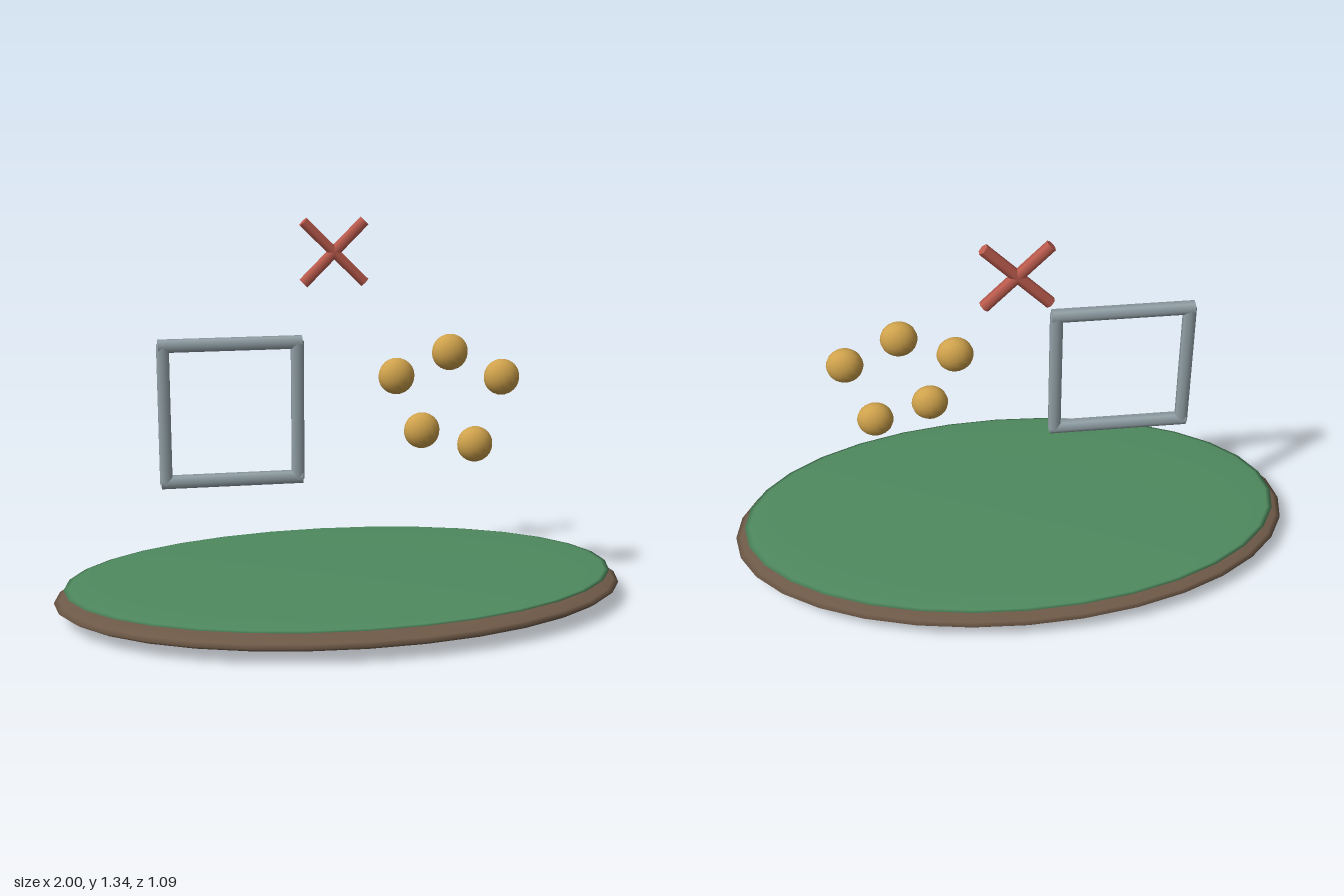
import * as THREE from 'three';

const material = (color) => new THREE.MeshStandardMaterial({ color });

function addMesh(parent, name, geometry, mat, x, y, z = 0) {
  const mesh = new THREE.Mesh(geometry, mat);
  mesh.name = name;
  mesh.position.set(x, y, z);
  parent.add(mesh);
  return mesh;
}

// Sphere stretched to the given half sizes
function ellipsoid(rx, ry, rz, columns, rows) {
  return new THREE.SphereGeometry(1, columns, rows).scale(rx, ry, rz);
}

function addGroup(parent, name, x, y, z) {
  const group = new THREE.Group();
  group.name = name;
  group.position.set(x, y, z);
  parent.add(group);
  return group;
}

export function createModel() {
  const model = new THREE.Group();
  model.name = 'floatingSymbolsOverIsland';

  // Flat oval island: earth below, grass on top
  addMesh(model, 'earthBase', ellipsoid(1, 0.06, 0.545, 32, 16), material(0x6f5a48), 0, 0.06);
  addMesh(model, 'grassTop', ellipsoid(0.965, 0.017, 0.522, 32, 16), material(0x4f8a5f), 0, 0.105);

  // Square frame of four six-sided bars
  const steel = material(0x93a2a8);
  const frame = addGroup(model, 'squareFrame', -0.378, 0.71, 0);
  const bar = new THREE.CylinderGeometry(0.024, 0.024, 0.484, 6);
  for (const side of [-1, 1]) {
    addMesh(frame, side < 0 ? 'rightBar' : 'leftBar', bar, steel, side * 0.226, 0);
    addMesh(frame, side < 0 ? 'bottomBar' : 'topBar', bar, steel, 0, side * 0.236).rotation.z = Math.PI / 2;
  }

  // Ring of five slightly flattened balls
  const gold = material(0xcfa24c);
  const ring = addGroup(model, 'ballRing', 0.375, 0.74, 0);
  const ball = ellipsoid(0.063, 0.063, 0.047, 16, 12);
  const spots = [[-0.185, 0.076], [0.001, 0.154], [0.186, 0.06], [0.096, -0.177], [-0.094, -0.12]];
  spots.forEach(([x, y], i) => addMesh(ring, `ball${i + 1}`, ball, gold, x, y));

  // Cross of two diagonal rods
  const red = material(0xbd5c4e);
  const cross = addGroup(model, 'cross', 0, 1.223, -0.168);
  const rod = new THREE.CylinderGeometry(0.02, 0.02, 0.302, 6);
  for (const side of [-1, 1]) {
    addMesh(cross, side < 0 ? 'risingRod' : 'fallingRod', rod, red, 0, 0).rotation.z = side * Math.PI / 4;
  }

  return model;
}
